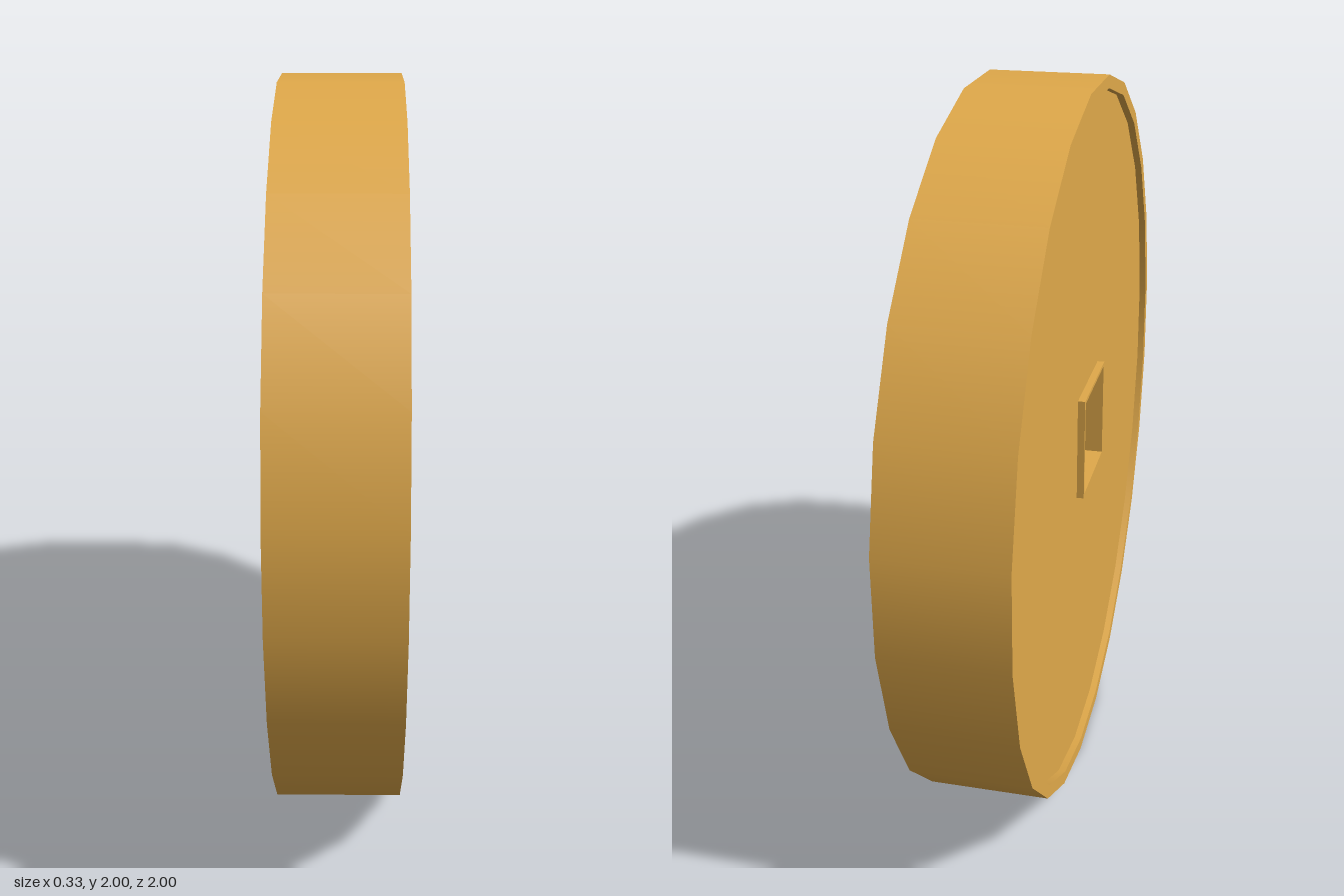
import * as THREE from 'three';

const SIDES = 24, STEP = Math.PI / 12, START = STEP / 2;
const R = 1 / Math.cos(START);      // flat of the polygon touches the ground
const R_IN = 0.965 * R;             // inner edge of the raised rim
const HALF = 0.163, DEPTH = 0.02;   // half thickness, recess of the faces
const HOLE_Y = 0.028;               // hole sits slightly above the centre

function square(half, Type) {
  const p = new Type();
  p.moveTo(-half, HOLE_Y - half);
  p.lineTo(half, HOLE_Y - half);
  p.lineTo(half, HOLE_Y + half);
  p.lineTo(-half, HOLE_Y + half);
  p.closePath();
  return p;
}

function wall(radius, height, z) {
  return new THREE.CylinderGeometry(radius, radius, height, SIDES, 1, true, START)
    .rotateX(Math.PI / 2).translate(0, 0, z);
}

export function createModel() {
  const model = new THREE.Group();
  model.name = 'coin';
  const gold = new THREE.MeshStandardMaterial({ color: 0xe0a94a });
  const goldInside = new THREE.MeshStandardMaterial({ color: 0xe0a94a, side: THREE.DoubleSide });
  const orangeInside = new THREE.MeshStandardMaterial({ color: 0xe8913a, side: THREE.DoubleSide });

  // built facing z, then turned so the faces point along x
  const body = new THREE.Group();
  body.name = 'body';
  body.rotation.y = Math.PI / 2;
  body.position.y = 1;
  model.add(body);
  const add = (name, geometry, material = gold) => {
    const mesh = new THREE.Mesh(geometry, material);
    mesh.name = name;
    body.add(mesh);
    return mesh;
  };

  add('edge', wall(R, HALF * 2, 0));

  // recessed disc with the square opening
  const disc = new THREE.Shape();
  for (let i = 0; i < SIDES; i++) {
    const a = START + i * STEP;
    disc[i ? 'lineTo' : 'moveTo'](R_IN * Math.cos(a), R_IN * Math.sin(a));
  }
  disc.closePath();
  disc.holes.push(square(0.148, THREE.Path));

  for (const side of [1, -1]) {
    const label = side > 0 ? 'left' : 'right';
    const turn = side > 0 ? 0 : Math.PI;
    add(label + 'Face', new THREE.ShapeGeometry(disc)
      .translate(0, 0, HALF - DEPTH)).rotation.y = turn;
    add(label + 'Rim', new THREE.RingGeometry(R_IN, R, SIDES, 1, START)
      .translate(0, 0, HALF)).rotation.y = turn;
    add(label + 'RimInnerWall', wall(R_IN, DEPTH, side * (HALF - DEPTH / 2)),
      side > 0 ? orangeInside : goldInside);
  }

  // square tube lining the hole, its ends forming the raised lips
  const lip = square(0.148, THREE.Shape);
  lip.holes.push(square(0.138, THREE.Path));
  add('holeLining', new THREE.ExtrudeGeometry(lip, { depth: HALF * 2, bevelEnabled: false })
    .translate(0, 0, -HALF));

  return model;
}
